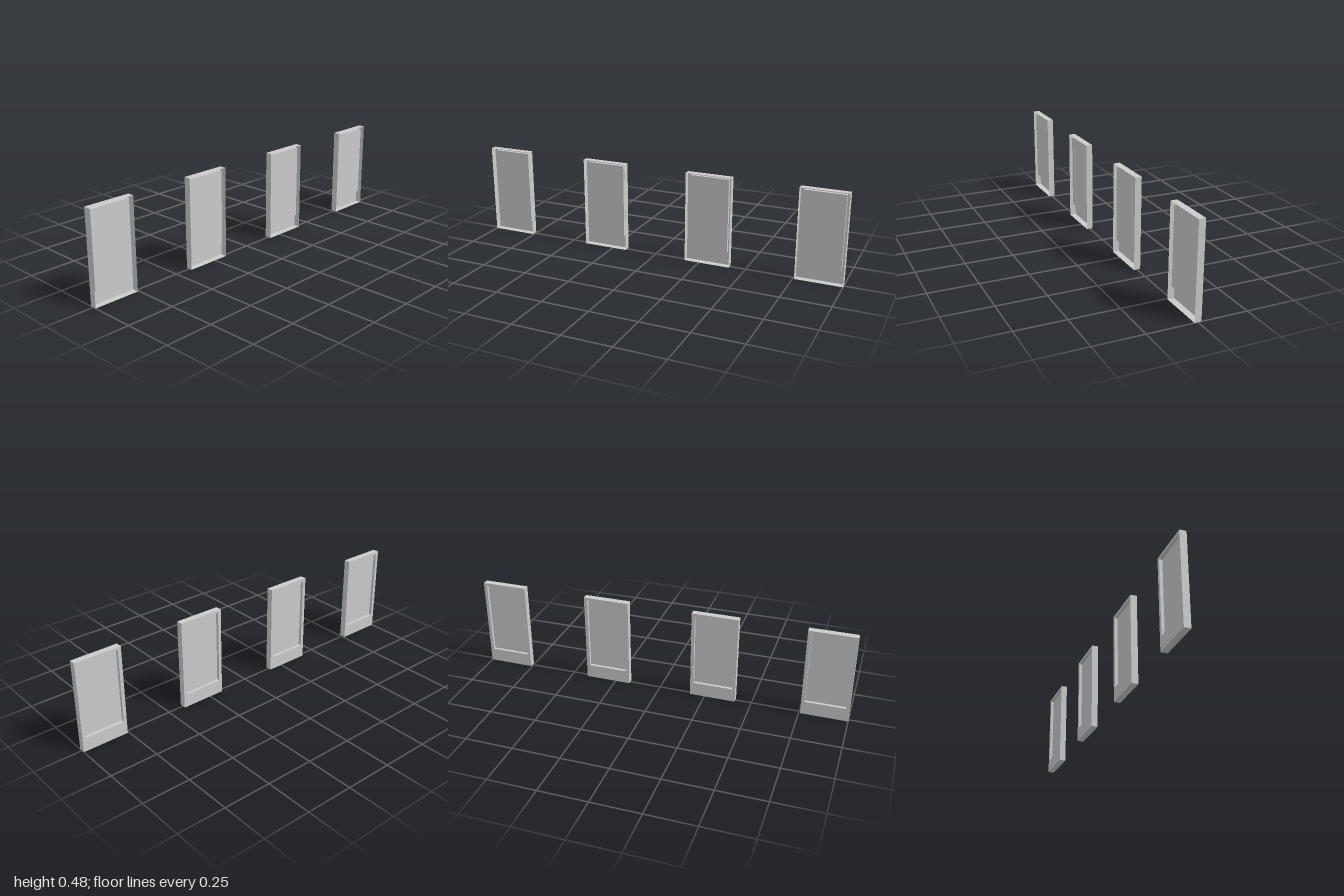
import * as THREE from 'three';

const W = 0.243, H = 0.477, T = 0.034;        // panel width (z), height (y), depth (x)
const OW = 0.208, OY0 = 0.072, OY1 = 0.463;   // window opening
const REVEAL = 0.016, PANE = 0.024;           // depths measured from the -x face

const material = new THREE.MeshStandardMaterial({
  color: 0xcccccc, flatShading: true, side: THREE.DoubleSide,
});

function add(parent, name, geometry) {
  const mesh = new THREE.Mesh(geometry, material);
  mesh.name = name;
  parent.add(mesh);
  return mesh;
}

// Four thin walls around a rectangle, running from x0 to x1
function addWalls(parent, name, width, y0, y1, x0, x1) {
  const depth = x1 - x0, xm = (x0 + x1) / 2;
  for (const s of [-1, 1]) {
    const side = add(parent, name + 'Side', new THREE.PlaneGeometry(depth, y1 - y0));
    side.position.set(xm, (y0 + y1) / 2, s * width / 2);
    if (s < 0) side.rotation.y = Math.PI;
  }
  for (const [y, turn] of [[y0, Math.PI / 2], [y1, -Math.PI / 2]]) {
    const level = add(parent, name + (y === y0 ? 'Bottom' : 'Top'), new THREE.PlaneGeometry(depth, width));
    level.position.set(xm, y, 0);
    level.rotation.x = turn;
  }
}

function rectangle(PathType, width, y0, y1) {
  const w = width / 2;
  return new PathType([[-w, y0], [w, y0], [w, y1], [-w, y1]].map(([x, y]) => new THREE.Vector2(x, y)));
}

function createPanel() {
  const panel = new THREE.Group();
  panel.name = 'windowPanel';
  const back = -T / 2;

  // Outer casing, open towards +x
  addWalls(panel, 'casing', W, 0, H, back, T / 2);

  // Face with the window opening
  const shape = rectangle(THREE.Shape, W, 0, H);
  shape.holes.push(rectangle(THREE.Path, OW, OY0, OY1));
  const face = add(panel, 'frameFace', new THREE.ShapeGeometry(shape));
  face.rotation.y = -Math.PI / 2;
  face.position.x = back;

  // Recess behind the opening
  addWalls(panel, 'reveal', OW, OY0, OY1, back, back + REVEAL);

  // Two parallel sheets closing the recess
  for (const [name, depth, turn] of [['outerPane', REVEAL, -1], ['innerPane', PANE, 1]]) {
    const pane = add(panel, name, new THREE.PlaneGeometry(OW, OY1 - OY0));
    pane.rotation.y = turn * Math.PI / 2;
    pane.position.set(back + depth, (OY0 + OY1) / 2, 0);
  }
  return panel;
}

export function createModel() {
  const model = new THREE.Group();
  model.name = 'windowPanels';
  // Four equal panels in a row along z
  const first = 1 - W / 2;
  for (let i = 0; i < 4; i++) {
    const panel = createPanel();
    panel.position.z = first - i * (2 * first / 3);
    model.add(panel);
  }
  return model;
}
